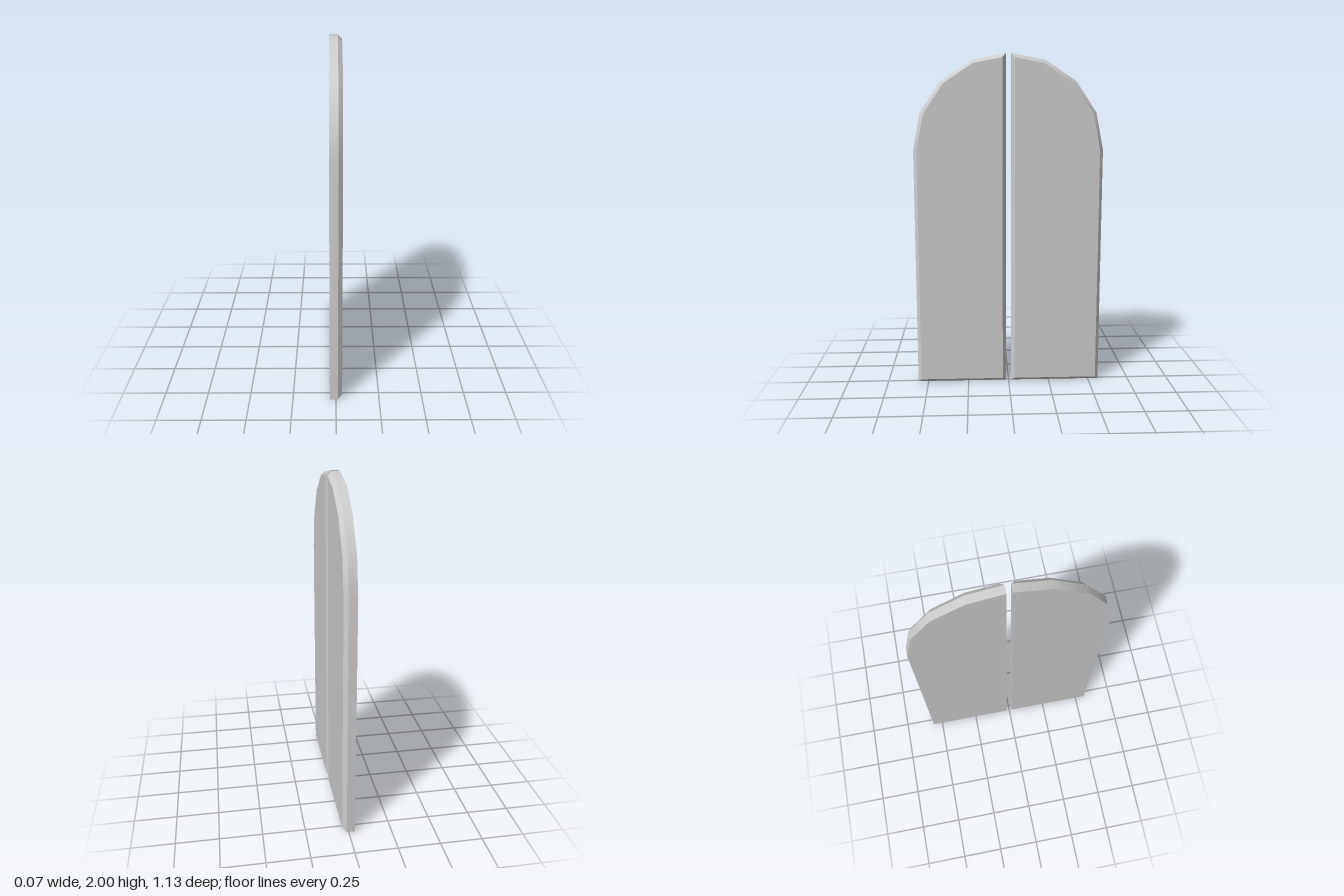
import * as THREE from 'three';
import { ConvexGeometry } from 'three/addons/geometries/ConvexGeometry.js';
import { toCreasedNormals } from 'three/addons/utils/BufferGeometryUtils.js';

const BACK = -0.036, SHOULDER = 0.012, FACE = 0.036, BEVEL = 0.021;

// Outline of one leaf as (z, y), counter-clockwise
const outline = [
  [0.016, 0], [0.563, 0], [0.563, 1.44], [0.52, 1.658],
  [0.398, 1.841], [0.214, 1.963], [0.016, 2],
].map(([z, y]) => new THREE.Vector2(z, y));

// Moves every edge of a convex outline inward by the same distance
function inset(points, distance) {
  const n = points.length;
  const inward = (a, b) => {
    const d = b.clone().sub(a).normalize();
    return new THREE.Vector2(-d.y, d.x);
  };
  return points.map((p, i) => {
    const n1 = inward(points[(i + n - 1) % n], p);
    const n2 = inward(p, points[(i + 1) % n]);
    const miter = n1.clone().add(n2);
    return p.clone().addScaledVector(miter, distance / (1 + n1.dot(n2)));
  });
}

// Solid leaf: flat back, straight edge, chamfer around the +x face
function leafGeometry(side) {
  const ring = (points, x) => points.map((p) => new THREE.Vector3(x, p.y, side * p.x));
  const solid = new ConvexGeometry([
    ...ring(outline, BACK),
    ...ring(outline, SHOULDER),
    ...ring(inset(outline, BEVEL), FACE),
  ]);
  return toCreasedNormals(solid, 0.55);
}

export function createModel() {
  const model = new THREE.Group();
  model.name = 'archedDoubleDoor';
  const material = new THREE.MeshStandardMaterial({ color: 0xcccccc });

  // Mirrored pair of door leaves with a narrow gap between them
  for (const [name, side] of [['frontDoorLeaf', 1], ['backDoorLeaf', -1]]) {
    const leaf = new THREE.Mesh(leafGeometry(side), material);
    leaf.name = name;
    model.add(leaf);
  }
  return model;
}
